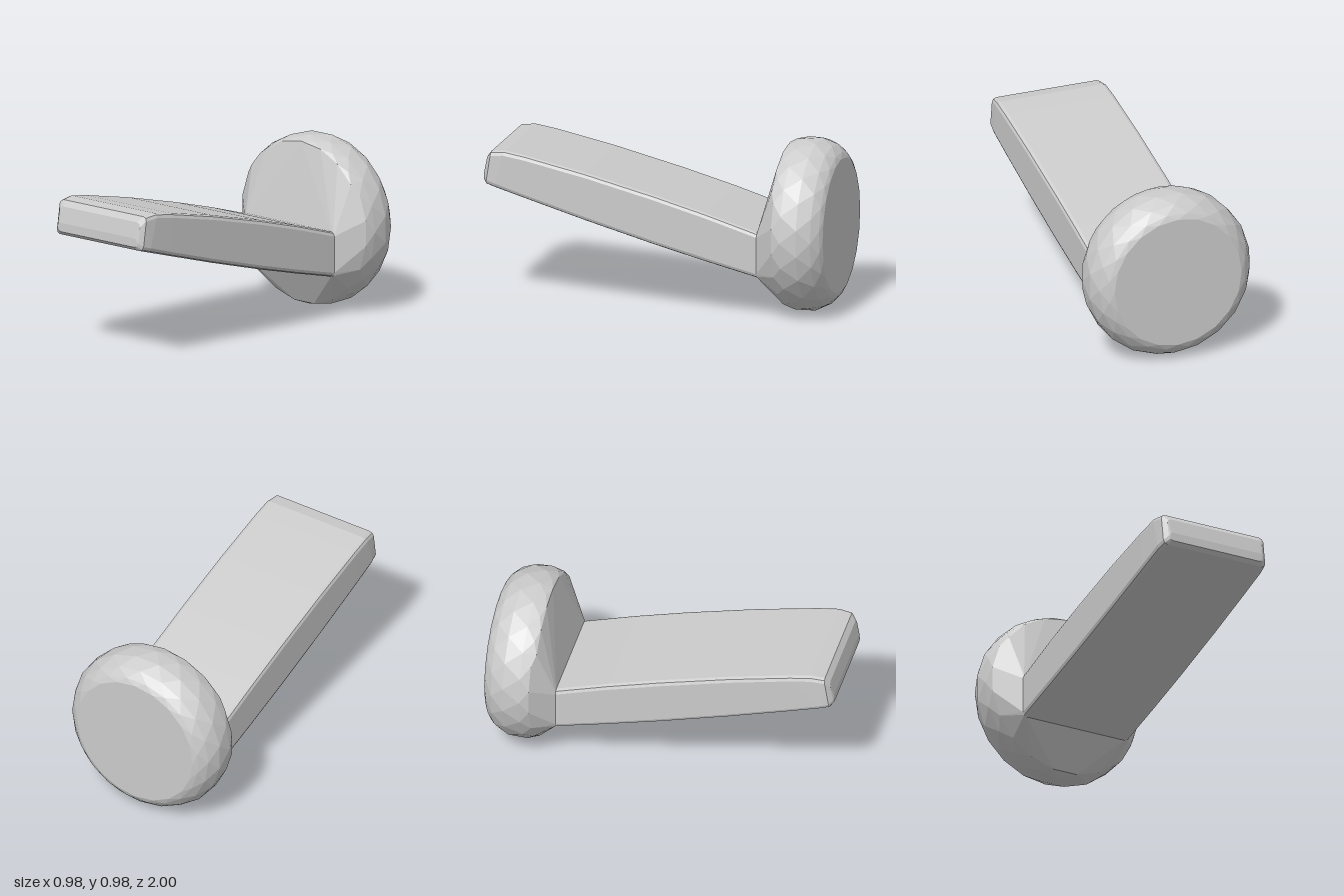
import * as THREE from 'three';
import { ConvexGeometry } from 'three/addons/geometries/ConvexGeometry.js';

const material = new THREE.MeshStandardMaterial({ color: 0xcccccc, flatShading: true });

// Upright rectangle with chamfered corners; its top and bottom edges may sit at different z
function section({ zTop, zBottom = zTop, top, bottom, half, corner = 0.025 }) {
  const points = [];
  const height = top - bottom;
  const add = (x, y) => points.push(
    new THREE.Vector3(x, y, THREE.MathUtils.lerp(zBottom, zTop, (y - bottom) / height)));
  for (const side of [-1, 1]) {
    for (const [inX, inY] of [[corner, 0], [corner * 0.3, corner * 0.3], [0, corner]]) {
      add(side * (half - inX), top - inY);
      add(side * (half - inX), bottom + inY);
    }
  }
  return points;
}

// Points around the disc, all or only part of the way
function ring(radius, z, offset, from = 0, count = 20) {
  return Array.from({ length: count }, (_, i) => {
    const a = (from + i + offset) * Math.PI * 2 / 20;
    return new THREE.Vector3(Math.sin(a) * radius, 0.49 + Math.cos(a) * radius, z);
  });
}

function hull(name, points) {
  const mesh = new THREE.Mesh(new ConvexGeometry(points), material);
  mesh.name = name;
  return mesh;
}

export function createModel() {
  const group = new THREE.Group();
  group.name = 'peg';
  const root = { zTop: -0.6, top: 0.5, bottom: 0.24, half: 0.34 };

  // Gently curved flat bar, rising towards its rounded tip
  group.add(hull('bar', [
    root,
    { zTop: -0.3, top: 0.592, bottom: 0.313, half: 0.341 },
    { zTop: 0, top: 0.675, bottom: 0.39, half: 0.341 },
    { zTop: 0.4, top: 0.775, bottom: 0.5, half: 0.34 },
    { zTop: 0.75, top: 0.85, bottom: 0.602, half: 0.338 },
    { zTop: 0.87, zBottom: 0.93, top: 0.87, bottom: 0.655, half: 0.336 },
    { zTop: 0.95, zBottom: 0.98, top: 0.862, bottom: 0.669, half: 0.328 },
    { zTop: 0.977, zBottom: 1, top: 0.83, bottom: 0.69, half: 0.305 },
    { zTop: 0.998, zBottom: 1, top: 0.74, bottom: 0.69, half: 0.295, corner: 0.015 },
  ].flatMap(section)));

  // Faceted round head tapering forward onto the bar
  group.add(hull('head', [
    ...section(root),
    ...ring(0.462, -0.7, 0, -3, 7),
    ...ring(0.473, -0.722, 0.5),
    ...ring(0.488, -0.775, 0),
    ...ring(0.488, -0.87, 0.5),
    ...ring(0.455, -0.945, 0),
    ...ring(0.415, -0.985, 0.5),
    ...ring(0.385, -1, 0),
  ]));
  return group;
}
